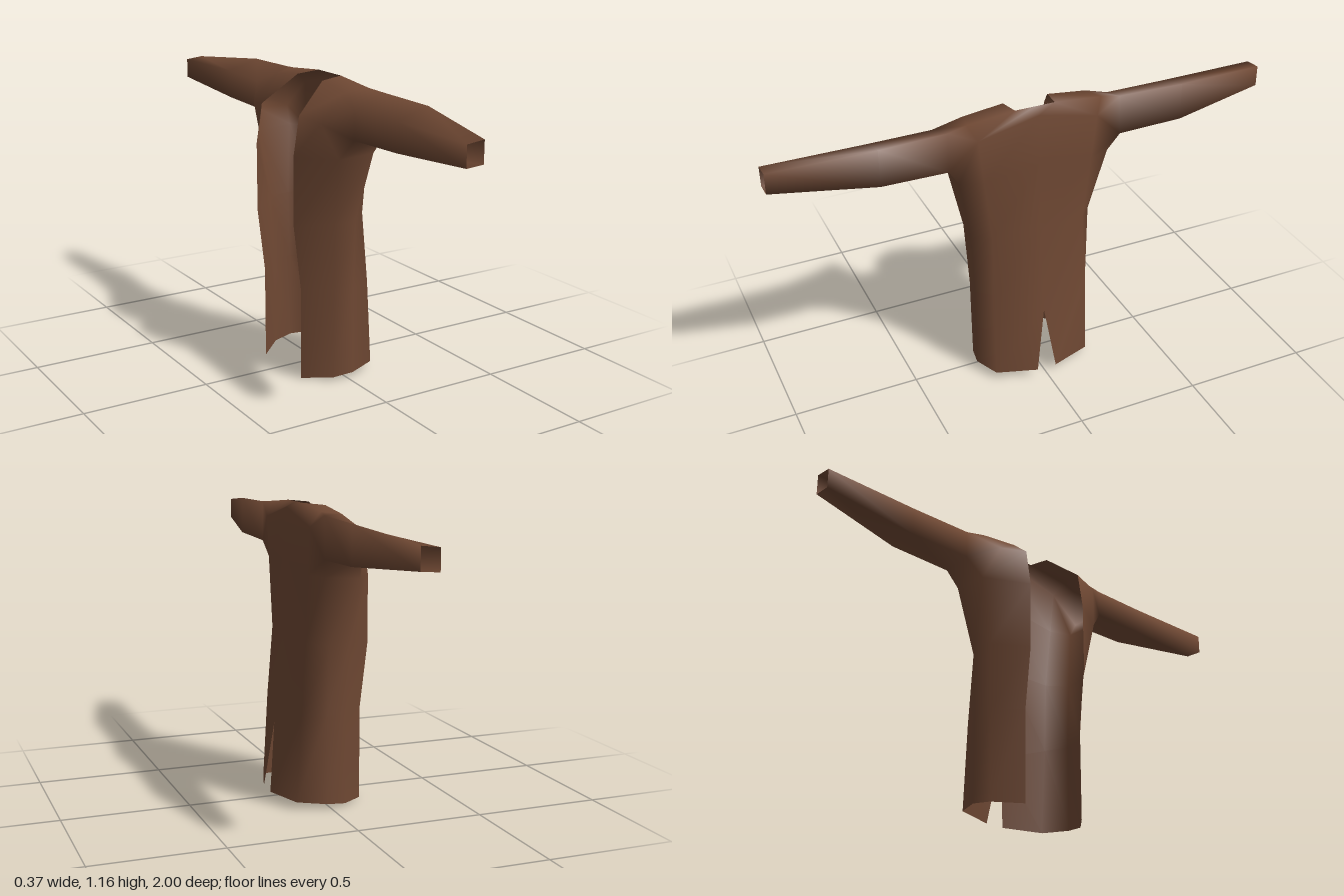
import * as THREE from 'three';

// Corner points of the +z half, [x, y, z]; the other half is mirrored.
const points = {};

// Body rows from hem to chest: front edge, front side, rear side, back corner, back centre
const rows = [
  [[-0.155, 0, 0.14], [-0.06, 0.012, 0.225], [0.02, 0.022, 0.24], [0.13, 0.03, 0.2], [0.182, 0.03, 0.04]],
  [[-0.155, 0.37, 0.14], [-0.06, 0.37, 0.23], [0.02, 0.37, 0.24], [0.11, 0.37, 0.2], [0.15, 0.3, 0]],
  [[-0.185, 0.62, 0.14], [-0.07, 0.64, 0.245], [0.02, 0.64, 0.25], [0.09, 0.65, 0.19], [0.11, 0.66, 0]],
  [[-0.185, 0.89, 0.14], [-0.085, 0.9, 0.3], [0.06, 0.91, 0.305], [0.092, 0.91, 0.22], [0.105, 0.95, 0]],
];
rows.forEach((row, r) => row.forEach((p, c) => { points[`r${r}c${c}`] = p; }));

// Shoulder and neck points
Object.assign(points, {
  collarFront: [-0.16, 1.045, 0.14],
  chest: [-0.135, 1.03, 0.25],
  shoulderFront: [-0.03, 1.135, 0.25],
  shoulderBack: [0.06, 1.147, 0.27],
  neckSide: [-0.028, 1.155, 0.09],
  neckBack: [0.06, 1.165, 0.08],
  neckCentre: [0.06, 1.165, 0],
  blade: [0.093, 1.09, 0.24],
  backTop: [0.096, 1.145, 0],
});

// Square sleeve rings from armhole to cuff: front low, back low, back high, front high
const rings = [
  [[-0.06, 0.98, 0.36], [0.075, 0.98, 0.35], [0.075, 1.14, 0.345], [-0.06, 1.09, 0.36]],
  [[-0.05, 0.983, 0.61], [0.08, 0.988, 0.61], [0.078, 1.135, 0.61], [-0.05, 1.095, 0.61]],
  [[-0.06, 1.013, 1], [0.01, 1.018, 1], [0.01, 1.1, 1], [-0.06, 1.092, 1]],
];
rings.forEach((ring, k) => ring.forEach((p, i) => { points[`s${k}${'abcd'[i]}`] = p; }));

// Faces of the body
const bodyFaces = [];
for (let r = 0; r < 3; r++) {
  for (let c = 0; c < 4; c++) {
    bodyFaces.push([`r${r}c${c}`, `r${r}c${c + 1}`, `r${r + 1}c${c + 1}`, `r${r + 1}c${c}`]);
  }
}
bodyFaces.push(
  // chest and front of the shoulder
  ['r3c0', 'r3c1', 'chest', 'collarFront'],
  ['r3c1', 's0a', 'chest'],
  ['s0a', 's0d', 'chest'],
  ['collarFront', 'chest', 'shoulderFront', 'neckSide'],
  ['chest', 's0d', 'shoulderFront'],
  // top of the shoulder
  ['s0d', 's0c', 'shoulderBack', 'shoulderFront'],
  ['shoulderFront', 'shoulderBack', 'neckBack', 'neckSide'],
  // armpit
  ['r3c1', 'r3c2', 's0b', 's0a'],
  // upper back
  ['r3c2', 'r3c3', 'blade', 's0b'],
  ['s0b', 'blade', 's0c'],
  ['s0c', 'blade', 'shoulderBack'],
  ['r3c3', 'r3c4', 'backTop', 'blade'],
  ['blade', 'backTop', 'neckCentre', 'neckBack'],
  ['blade', 'neckBack', 'shoulderBack'],
);

// Faces of a sleeve
const sleeveFaces = [];
for (let k = 0; k < 2; k++) {
  for (let i = 0; i < 4; i++) {
    const a = 'abcd'[i], b = 'abcd'[(i + 1) % 4];
    sleeveFaces.push([`s${k}${a}`, `s${k}${b}`, `s${k + 1}${b}`, `s${k + 1}${a}`]);
  }
}

export function createModel() {
  const group = new THREE.Group();
  group.name = 'longCoat';
  const material = new THREE.MeshStandardMaterial({ color: 0x6f4833, side: THREE.DoubleSide });

  // Shared vertices for both halves; points on the centre line are used twice
  const names = Object.keys(points);
  const position = [];
  for (const side of [1, -1]) {
    for (const n of names) position.push(points[n][0], points[n][1], points[n][2] * side);
  }
  const vertex = (name, mirrored) =>
    names.indexOf(name) + (mirrored && points[name][2] !== 0 ? names.length : 0);

  const indices = (faces, mirrored) => faces.flatMap((face) => {
    const v = face.map((n) => vertex(n, mirrored));
    if (mirrored) v.reverse();
    return v.length === 4 ? [v[0], v[1], v[2], v[0], v[2], v[3]] : v;
  });

  const parts = {
    coatBody: [...indices(bodyFaces, false), ...indices(bodyFaces, true)],
    sleeve: indices(sleeveFaces, false),
    oppositeSleeve: indices(sleeveFaces, true),
  };

  // Normals are smoothed over the whole coat, so the sleeves blend into the body
  const whole = new THREE.BufferGeometry();
  whole.setAttribute('position', new THREE.Float32BufferAttribute(position, 3));
  whole.setIndex(Object.values(parts).flat());
  whole.computeVertexNormals();

  for (const [name, index] of Object.entries(parts)) {
    const geometry = new THREE.BufferGeometry();
    geometry.setAttribute('position', whole.getAttribute('position'));
    geometry.setAttribute('normal', whole.getAttribute('normal'));
    geometry.setIndex(index);
    const mesh = new THREE.Mesh(geometry, material);
    mesh.name = name;
    group.add(mesh);
  }
  return group;
}
